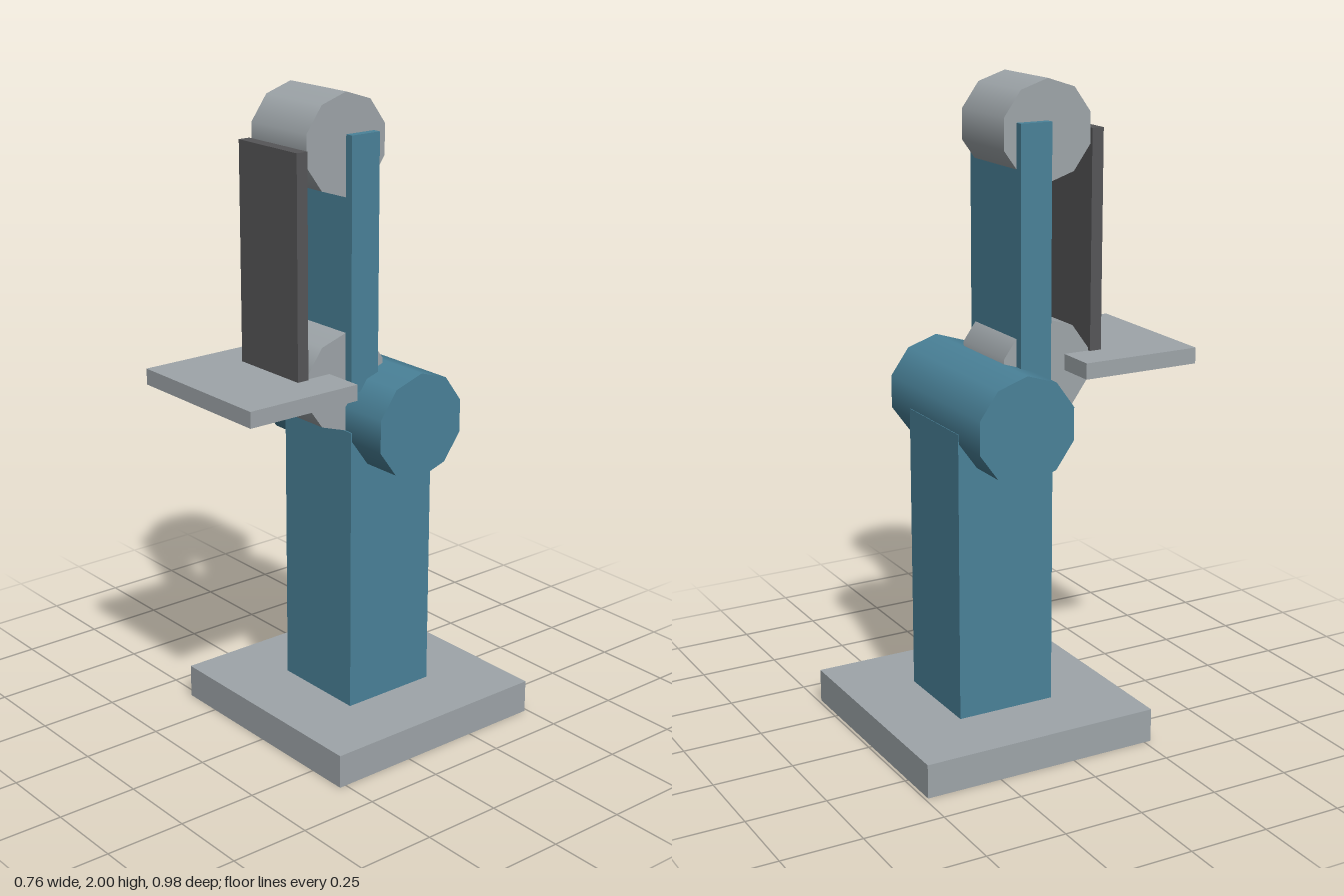
import * as THREE from 'three';

const paint = (color) => new THREE.MeshStandardMaterial({ color });

export function createModel() {
  const model = new THREE.Group();
  const blue = paint(0x4a8299);
  const grey = paint(0x9ea5a9);
  const dark = paint(0x565658);

  const add = (name, geometry, material, y, z) => {
    const mesh = new THREE.Mesh(geometry, material);
    mesh.name = name;
    mesh.position.set(0, y, z);
    model.add(mesh);
  };

  // Box given by its width and its y and z extents
  const block = (name, material, width, y0, y1, z0, z1) =>
    add(name, new THREE.BoxGeometry(width, y1 - y0, z1 - z0), material, (y0 + y1) / 2, (z0 + z1) / 2);

  // Ten-sided drum lying along x, with a corner pointing straight up
  const drum = (name, material, radius, width, y, z) => {
    const geometry = new THREE.CylinderGeometry(radius, radius, width, 10, 1, false, Math.PI / 2);
    geometry.rotateZ(Math.PI / 2);
    add(name, geometry, material, y, z);
  };

  // Stand
  block('base', grey, 0.76, 0, 0.105, -0.49, 0.272);
  block('pillar', blue, 0.314, 0.105, 1.0, -0.267, 0.049);
  drum('motorHousing', blue, 0.163, 0.572, 1.022, -0.11);

  // Upright arm with a wheel at each end
  block('arm', blue, 0.304, 1.12, 1.88, -0.057, 0.045);
  drum('lowerWheel', grey, 0.15, 0.252, 1.15, 0.045);
  drum('upperWheel', grey, 0.15, 0.252, 1.85, 0.045);

  // Flat belt in front of the wheels, and the work table below it
  block('belt', dark, 0.267, 1.15, 1.85, 0.19, 0.228);
  block('workTable', grey, 0.506, 1.138, 1.187, 0.106, 0.488);

  return model;
}
